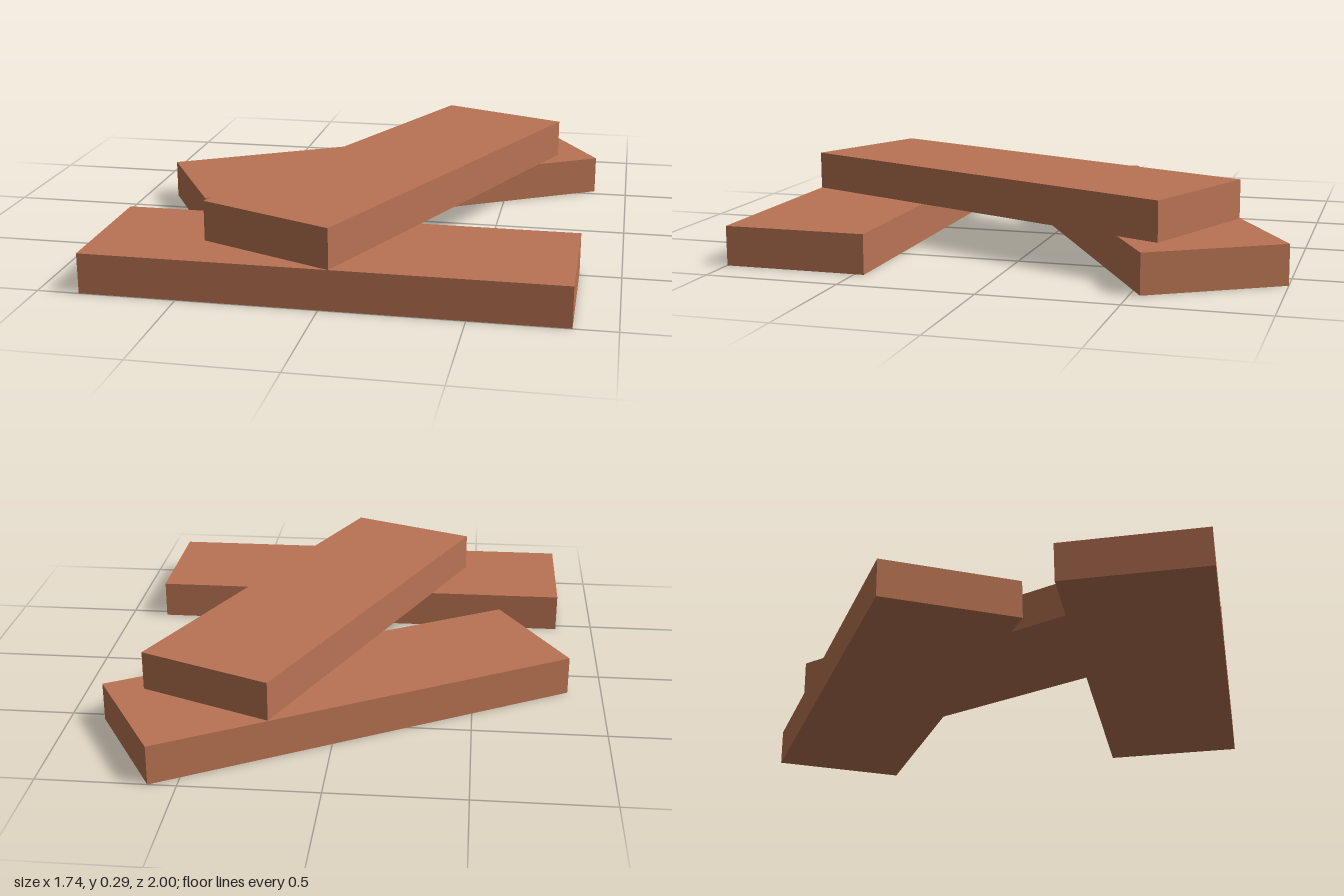
import * as THREE from 'three';

const LENGTH = 1.698, HEIGHT = 0.147, WIDTH = 0.535;

export function createModel() {
  const group = new THREE.Group();
  group.name = 'stackedPlanks';

  const terracotta = new THREE.MeshStandardMaterial({ color: 0xb97353 });
  terracotta.name = 'terracotta';

  const plankGeometry = new THREE.BoxGeometry(LENGTH, HEIGHT, WIDTH);

  // One plank: centre on the ground plan, layer in the stack, turn in degrees
  function addPlank(name, x, z, layer, degrees) {
    const plank = new THREE.Mesh(plankGeometry, terracotta);
    plank.name = name;
    plank.position.set(x, HEIGHT * (layer + 0.5), z);
    plank.rotation.y = THREE.MathUtils.degToRad(degrees);
    group.add(plank);
  }

  // Two planks on the ground
  addPlank('frontPlank', 0, 0.7315, 0, 0);
  addPlank('backPlank', 0, -0.344, 0, 30);

  // One plank bridging them
  addPlank('topPlank', 0.126, 0.113, 1, 66.8);

  return group;
}
